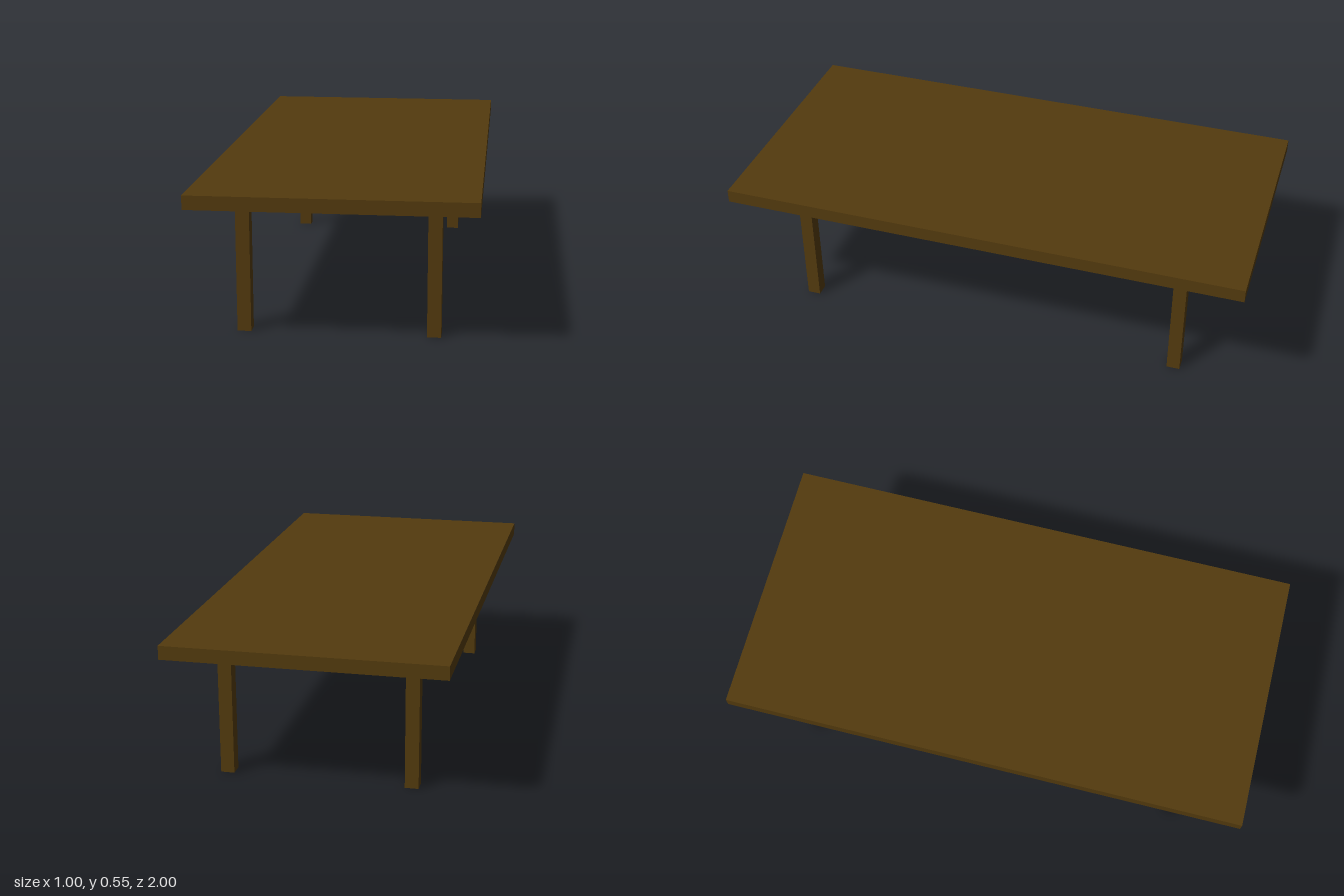
import * as THREE from 'three';

export function createModel() {
  const table = new THREE.Group();
  table.name = 'table';

  const wood = new THREE.MeshStandardMaterial({ color: 0x543b0e });
  wood.name = 'dark wood';

  const addBox = (name, size, position) => {
    const mesh = new THREE.Mesh(new THREE.BoxGeometry(...size), wood);
    mesh.name = name;
    mesh.position.set(...position);
    table.add(mesh);
  };

  // Flat slab top
  const legHeight = 0.5, topThickness = 0.05;
  addBox('tableTop', [1, topThickness, 2], [0, legHeight + topThickness / 2, 0]);

  // Four square legs, set in from the edges
  for (const [side, x] of [['Left', 0.34], ['Right', -0.34]]) {
    for (const [end, z] of [['front', 0.75], ['back', -0.75]]) {
      addBox(`${end}${side}Leg`, [0.05, legHeight, 0.05], [x, legHeight / 2, z]);
    }
  }

  return table;
}
